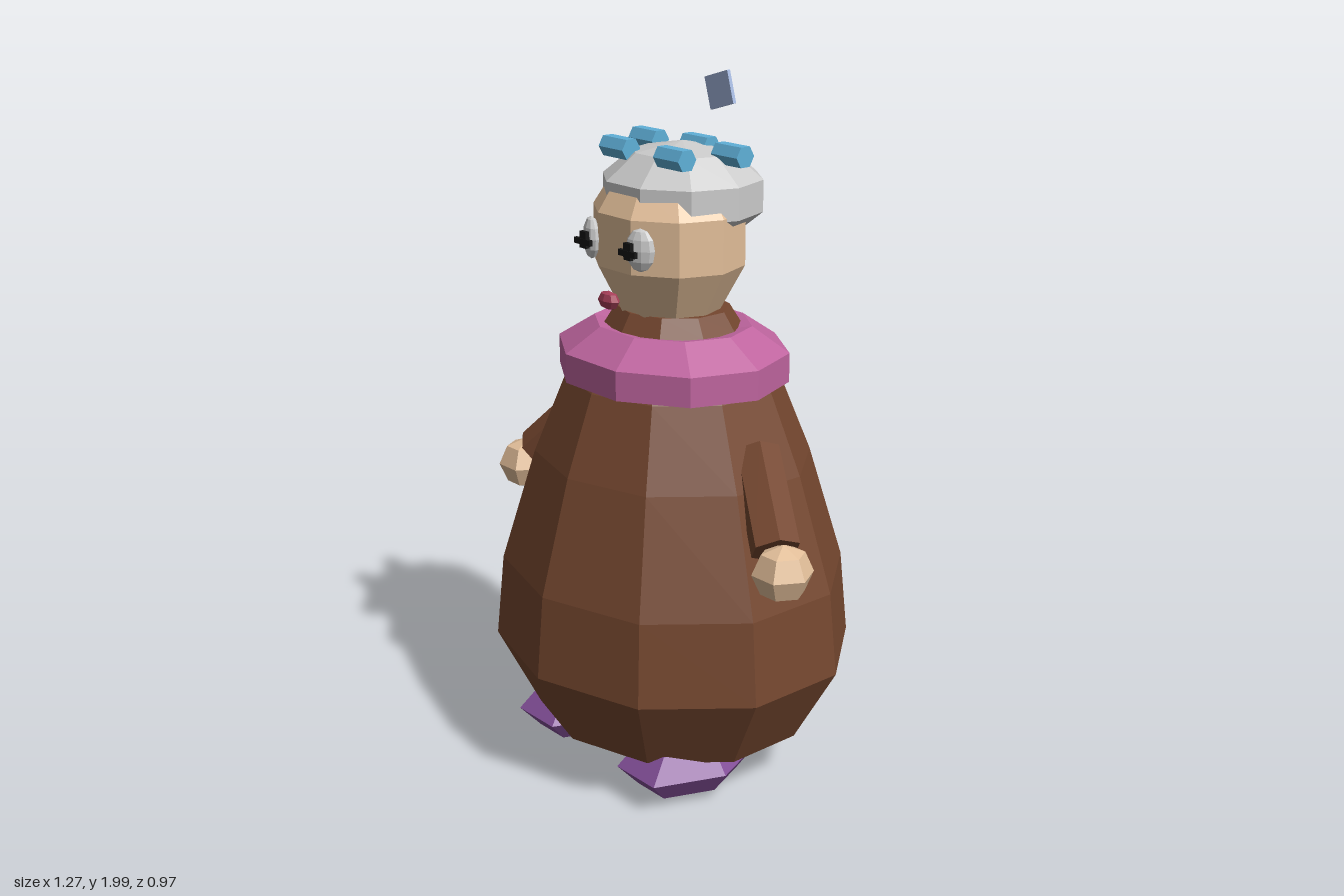
import * as THREE from 'three';

const mat = (color) => new THREE.MeshStandardMaterial({ color, flatShading: true });
const BROWN = mat(0x75472f), PINK = mat(0xbf659f), SKIN = mat(0xe3bf9a), GREY = mat(0xbdbdbd);
const BLUE = mat(0x5fb0d8), PURPLE = mat(0x85509a), WHITE = mat(0xeeeeee), BLACK = mat(0x151515);
const RED = mat(0xa8405a), PALE = mat(0xa5b9e0);

export function createModel() {
  const model = new THREE.Group();

  const add = (name, geometry, material, x = 0, y = 0, z = 0) => {
    const mesh = new THREE.Mesh(geometry, material);
    mesh.name = name;
    mesh.position.set(x, y, z);
    model.add(mesh);
    return mesh;
  };
  // ten-sided turned shape from [radius, height] pairs, squashed to an oval
  const turned = (points, sx, sz, phi) =>
    new THREE.LatheGeometry(points.map(([r, y]) => new THREE.Vector2(r, y)), 10, phi).scale(sx, 1, sz);
  const ball = (rx, ry, rz, w, h) => new THREE.SphereGeometry(1, w, h).scale(rx, ry, rz);

  // bell-shaped body running up into the neck
  add('body', turned([[0, 0.13], [0.37, 0.13], [0.485, 0.355], [0.463, 0.59], [0.37, 0.91],
    [0.285, 1.13], [0.18, 1.28], [0.15, 1.33], [0, 1.33]], 1.115, 1, 0), BROWN);

  // thick faceted collar
  add('collar', turned([[0.22, 1.16], [0.27, 1.12], [0.345, 1.137], [0.345, 1.218], [0.235, 1.285],
    [0.15, 1.27]], 1, 0.875, Math.PI / 2), PINK);

  // head and hair
  add('head', turned([[0, 1.29], [0.145, 1.32], [0.22, 1.455], [0.22, 1.6], [0.17, 1.675], [0, 1.71]],
    1, 0.9, Math.PI / 2), SKIN, 0, 0, 0.013);
  add('hair', ball(0.237, 0.14, 0.227, 10, 5), GREY, 0, 1.635, -0.035);

  // hair rollers
  for (const [x, z] of [[-0.17, -0.06], [0, -0.095], [0.17, -0.06], [-0.113, 0.09], [0.113, 0.09]]) {
    const roller = new THREE.CylinderGeometry(0.031, 0.031, 0.1, 6).rotateZ(Math.PI / 2);
    add('hairRoller', roller, BLUE, x, 1.755, z);
  }

  add('mouth', ball(0.041, 0.026, 0.02, 8, 4), RED, 0, 1.378, 0.222);

  for (const s of [1, -1]) {
    const side = s > 0 ? 'left' : 'right';

    // eye with pupil and lash bar
    const eye = add(side + 'Eye', ball(0.043, 0.058, 0.022, 10, 6), WHITE, s * 0.102, 1.527, 0.197);
    eye.rotation.y = s * 0.4;
    add(side + 'Pupil', new THREE.BoxGeometry(0.027, 0.045, 0.012), BLACK, s * 0.092, 1.527, 0.229);
    add(side + 'Lash', new THREE.BoxGeometry(0.068, 0.016, 0.01), BLACK, s * 0.093, 1.522, 0.232);

    // sleeve from shoulder to wrist, and hand
    const from = new THREE.Vector3(s * 0.335, 0.99, -0.005);
    const to = new THREE.Vector3(s * 0.515, 0.79, 0.09);
    const sleeve = add(side + 'Sleeve', new THREE.CylinderGeometry(0.066, 0.068, from.distanceTo(to), 6), BROWN);
    sleeve.position.lerpVectors(from, to, 0.5);
    sleeve.quaternion.setFromUnitVectors(new THREE.Vector3(0, 1, 0), from.clone().sub(to).normalize());
    add(side + 'Hand', ball(0.082, 0.078, 0.084, 6, 4), SKIN, s * 0.555, 0.743, 0.102);

    // rounded slipper
    add(side + 'Foot', ball(0.157, 0.09, 0.222, 6, 4), PURPLE, s * 0.228, 0.092, 0.138);
  }

  // small card floating above the head
  const card = add('card', new THREE.BoxGeometry(0.088, 0.084, 0.01), PALE, 0.25, 1.943, 0.057);
  card.rotation.z = 0.29;

  return model;
}
